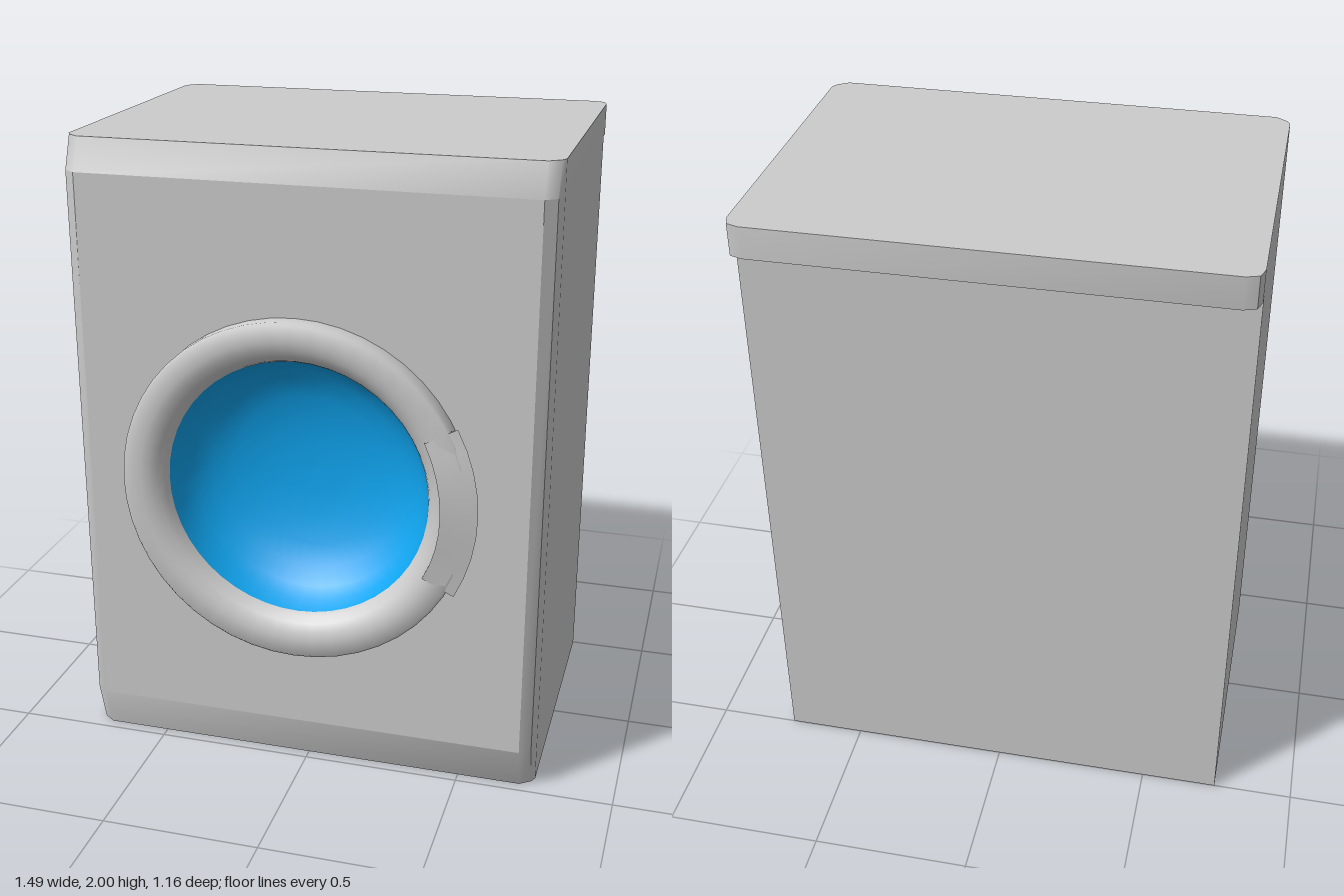
import * as THREE from 'three';
import { toCreasedNormals } from 'three/addons/utils/BufferGeometryUtils.js';

const grey = new THREE.MeshStandardMaterial({ color: 0xcccccc, side: THREE.DoubleSide });
const blue = new THREE.MeshStandardMaterial({ color: 0x0fa5f0, side: THREE.DoubleSide });

const HALF = 0.745, FRONT = 0.505, BEVEL = 0.465;
const DOOR = { x: -0.02, y: 0.955 };

// Joins rows of [x, y, z] points with quads; skip(row, column) leaves an opening
function loft(rows, { closed = true, skip = () => false, crease = 0.75 } = {}) {
  const n = rows[0].length, index = [];
  for (let i = 0; i < rows.length - 1; i++) {
    for (let j = 0; j < (closed ? n : n - 1); j++) {
      if (skip(i, j)) continue;
      const a = i * n + j, b = i * n + (j + 1) % n;
      index.push(a, b, b + n, a, b + n, a + n);
    }
  }
  const g = new THREE.BufferGeometry();
  g.setAttribute('position', new THREE.Float32BufferAttribute(rows.flat(2), 3));
  g.setIndex(index);
  return toCreasedNormals(g, crease);
}

function add(parent, name, geometry, material = grey) {
  const mesh = new THREE.Mesh(geometry, material);
  mesh.name = name;
  parent.add(mesh);
  return mesh;
}

// Horizontal outline: softened front corners at depth f, then the given rear half
function outline(y, f, rear) {
  const right = [[0.7, f], [0.735, f - 0.025], [HALF, 0.42], ...rear];
  const left = right.map(([x, z]) => [-x, z]).reverse();
  // first edge is the front face, running left to right
  return [left.at(-1), ...right, ...left.slice(0, -1)].map(([x, z]) => [x, y, z]);
}

// Flat horizontal cap filling an outline
function cap(points, up) {
  const shape = new THREE.Shape(points.map(([x, , z]) => new THREE.Vector2(x, up ? -z : z)));
  return new THREE.ShapeGeometry(shape)
    .rotateX(up ? -Math.PI / 2 : Math.PI / 2)
    .translate(0, points[0][1], 0);
}

// Surface of revolution around the door axis, profile given as [radius, z]
function doorLathe(profile) {
  const pts = profile.map(([r, z]) => new THREE.Vector2(r, z));
  return new THREE.LatheGeometry(pts, 48).rotateX(Math.PI / 2);
}

export function createModel() {
  const model = new THREE.Group();
  model.name = 'washingMachine';

  // Cabinet shell, open underneath, with the foot of the front sloping back
  const cabinet = new THREE.Group();
  cabinet.name = 'cabinet';
  model.add(cabinet);
  const back = [[HALF, -0.5]];
  add(cabinet, 'cabinetWalls', loft(
    [outline(0, BEVEL, back), outline(0.14, FRONT, back), outline(1.9, FRONT, back)],
    { skip: (i, j) => i === 1 && j === 0 }));

  // Front panel with an octagonal opening behind the door
  const panel = new THREE.Shape([[-0.7, 0.14], [0.7, 0.14], [0.7, 1.9], [-0.7, 1.9]]
    .map(([x, y]) => new THREE.Vector2(x, y)));
  panel.holes.push(new THREE.Path(Array.from({ length: 8 }, (_, i) => {
    const a = -i * Math.PI / 4;
    return new THREE.Vector2(DOOR.x + 0.52 * Math.cos(a), DOOR.y + 0.52 * Math.sin(a));
  })));
  add(cabinet, 'frontPanel', new THREE.ShapeGeometry(panel).translate(0, 0, FRONT));

  // Worktop with bevelled front edge and rear overhang
  const worktop = new THREE.Group();
  worktop.name = 'worktop';
  model.add(worktop);
  const overhang = [[HALF, -0.535], [0.733, -0.572], [0.695, -0.585]];
  const lower = outline(1.9, FRONT, overhang), upper = outline(2, BEVEL, overhang);
  add(worktop, 'worktopEdge', loft([lower, upper]));
  add(worktop, 'worktopTop', cap(upper, true));
  add(worktop, 'worktopUnderside', cap(lower, false));

  // Round door: raised ring and concave glass bowl
  const door = new THREE.Group();
  door.name = 'door';
  door.position.set(DOOR.x, DOOR.y, 0);
  model.add(door);
  add(door, 'doorRing', toCreasedNormals(doorLathe([
    [0.55, 0.5], [0.55, 0.552], [0.542, 0.56], [0.49, 0.56],
    [0.465, 0.555], [0.44, 0.54], [0.423, 0.522], [0.415, 0.505],
  ]), 0.85));
  add(door, 'doorGlass', doorLathe([
    [0.415, 0.505], [0.4, 0.46], [0.37, 0.415], [0.32, 0.375],
    [0.25, 0.345], [0.16, 0.325], [0.08, 0.317], [0, 0.315],
  ]), blue);

  // Curved handle plate on the ring, proudest at mid height
  const angles = Array.from({ length: 9 }, (_, i) => 0.49 * (1 - i / 4));
  const handleRow = (r, zEnd, zMid) => angles.map((a) => [
    r * Math.cos(a), r * Math.sin(a), zEnd + (zMid - zEnd) * (1 - (a / 0.49) ** 2),
  ]);
  add(door, 'doorHandle', loft([
    handleRow(0.465, 0.55, 0.55),
    handleRow(0.465, 0.562, 0.58),
    handleRow(0.575, 0.555, 0.555),
    handleRow(0.55, 0.545, 0.545),
  ], { closed: false, crease: 0.5 }));

  return model;
}
